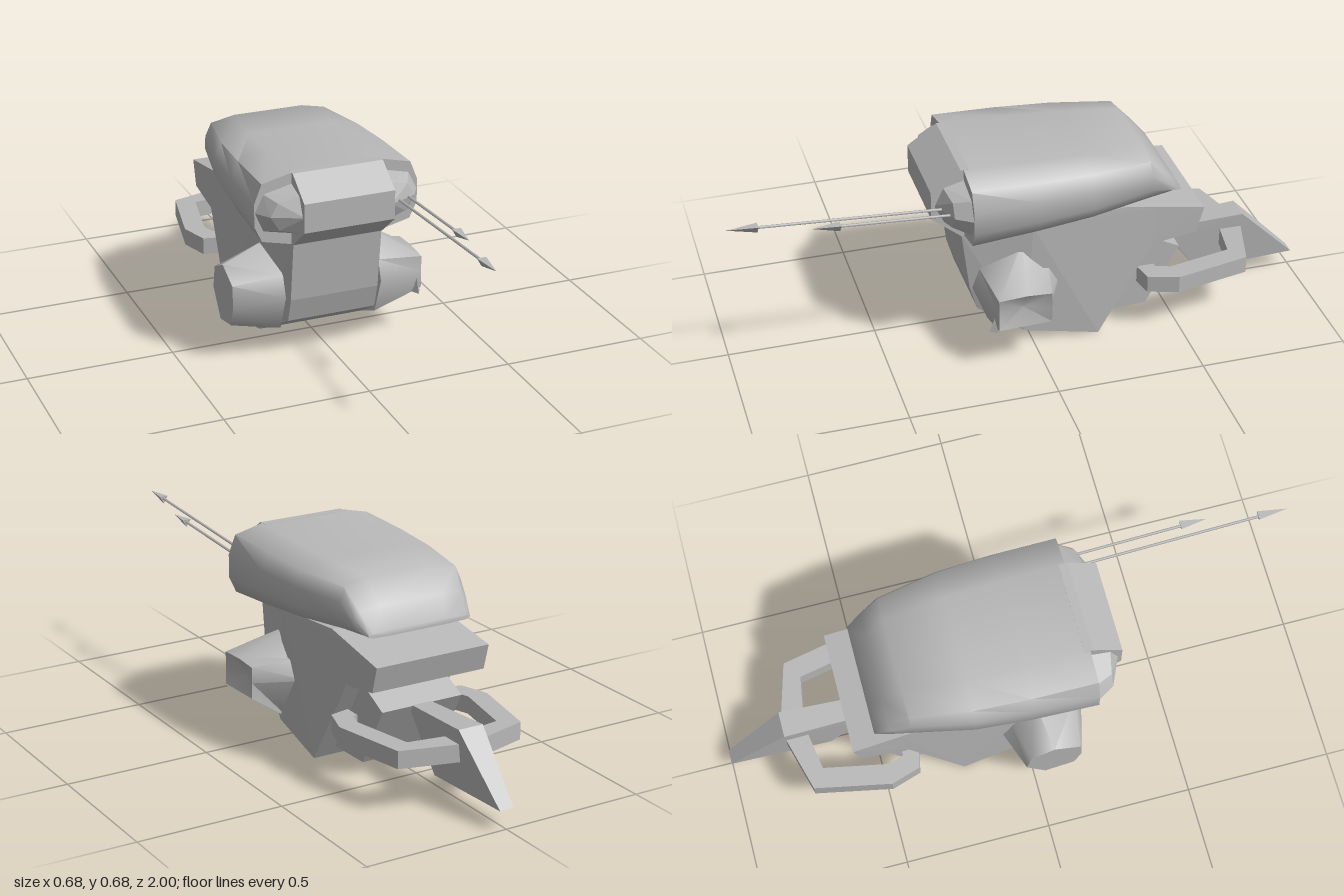
import * as THREE from 'three';
import { toCreasedNormals } from 'three/addons/utils/BufferGeometryUtils.js';
import { ConvexGeometry } from 'three/addons/geometries/ConvexGeometry.js';

const V = (x, y, z) => new THREE.Vector3(x, y, z);

// Skin over rings of equal length; the first ring runs counter-clockwise seen from outside
function loft(rings, crease) {
  const n = rings[0].length, pos = [], idx = [];
  rings.forEach(r => r.forEach(p => pos.push(p.x, p.y, p.z)));
  for (let i = 0; i < rings.length - 1; i++)
    for (let j = 0; j < n; j++) {
      const a = i * n + j, b = i * n + (j + 1) % n;
      idx.push(a, a + n, b, b, a + n, b + n);
    }
  const last = (rings.length - 1) * n;
  for (let j = 1; j < n - 1; j++) idx.push(0, j, j + 1, last, last + j + 1, last + j);
  const g = new THREE.BufferGeometry();
  g.setAttribute('position', new THREE.Float32BufferAttribute(pos, 3));
  g.setIndex(idx);
  return toCreasedNormals(g, crease);
}

// Convex solid symmetric in x from [half width, y, z] corners
const symmetricHull = pts => new ConvexGeometry(pts.flatMap(([x, y, z]) => [V(x, y, z), V(-x, y, z)]));

export function createModel() {
  const group = new THREE.Group();
  const hullGrey = new THREE.MeshStandardMaterial({ color: 0xb8b8b8 });
  hullGrey.name = 'hullGrey';
  const add = (name, geo) => {
    const m = new THREE.Mesh(geo, hullGrey);
    m.name = name;
    group.add(m);
    return m;
  };

  // Main body, widening backwards
  add('body', symmetricHull([
    [0.155, 0.43, 0.23], [0.155, 0.22, 0.205], [0.155, 0.135, 0.18], [0.2, 0.045, 0.03],
    [0.22, 0, -0.225], [0.217, 0.035, -0.245], [0.21, 0.315, -0.41],
    [0.205, 0.45, 0], [0.205, 0.475, -0.315], [0.207, 0.455, -0.43]]));
  add('rearLip', symmetricHull([
    [0.21, 0.315, -0.405], [0.21, 0.34, -0.565], [0.21, 0.43, -0.59], [0.205, 0.475, -0.315]]));
  add('rearBox', symmetricHull([
    [0.15, 0.035, -0.24], [0.15, 0.04, -0.415], [0.15, 0.25, -0.53], [0.15, 0.315, -0.4]]));

  // Rounded upper shell: stations of z, half width, bottom, top
  const half = [[0.545, -1], [0.91, -0.8], [1, -0.36], [1, 0.28], [0.91, 0.8], [0.545, 1]];
  const outline = [...half, ...half.map(([u, v]) => [-u, v]).reverse()];
  const stations = [[0.22, 0.285, 0.43, 0.68], [0, 0.282, 0.449, 0.673], [-0.19, 0.27, 0.466, 0.664],
    [-0.395, 0.23, 0.484, 0.655], [-0.46, 0.21, 0.49, 0.58], [-0.51, 0.19, 0.495, 0.515]];
  add('upperShell', loft(stations.map(([z, w, y0, y1]) =>
    outline.map(([u, v]) => V(u * w, (y0 + y1) / 2 + v * (y1 - y0) / 2, z))), 0.95));

  // Nose block with a faceted lamp on each side
  add('noseBlock', symmetricHull([
    [0.157, 0.43, 0.2], [0.157, 0.68, 0.2], [0.157, 0.43, 0.23], [0.157, 0.68, 0.23],
    [0.157, 0.612, 0.33], [0.157, 0.512, 0.33]]));
  const lamp = [
    [0.15, 0.645, 0.215], [0.255, 0.62, 0.215], [0.286, 0.558, 0.215], [0.257, 0.49, 0.215], [0.15, 0.468, 0.215],
    [0.15, 0.625, 0.29], [0.225, 0.605, 0.275], [0.25, 0.56, 0.275], [0.22, 0.51, 0.275],
    [0.15, 0.56, 0.32], [0.15, 0.495, 0.29]];
  for (const s of [1, -1])
    add(s > 0 ? 'leftLamp' : 'rightLamp', new ConvexGeometry(lamp.map(([x, y, z]) => V(s * x, y, z))));

  // Tapered side pods, [z, y] rings; the left one ends in a recess
  const base = [[0.2, 0.23], [0.175, 0.3], [0.03, 0.375], [-0.06, 0.29], [-0.1, 0.22], [0.03, 0.045], [0.15, 0.1]];
  const wideEnd = [[0.155, 0.2], [0.15, 0.28], [0.06, 0.32], [-0.02, 0.28], [-0.035, 0.2], [0.03, 0.11], [0.13, 0.13]];
  const boxEnd = [[0.155, 0.22], [0.155, 0.275], [0.06, 0.28], [-0.025, 0.275], [-0.025, 0.22], [-0.025, 0.165], [0.155, 0.16]];
  const ring = (pts, x) => pts.map(([z, y]) => V(x, y, z));
  add('rightPod', loft([ring(wideEnd, -0.338), ring(base, -0.17)], 0.9));
  const centre = boxEnd.map(() => [0.065, 0.22]);
  add('leftPod', loft([ring(centre, 0.305), ring(boxEnd, 0.338), ring(base, 0.17)].map(r => r.reverse()), 0.9));
  const barb = add('podBarb', new THREE.ConeGeometry(0.018, 0.05, 3).toNonIndexed());
  barb.geometry.computeVertexNormals();
  barb.position.set(0.318, 0.175, 0.165);

  // Two spears on the left lamp
  for (const [x, y, z, len] of [[0.185, 0.607, 0.995, 0.1], [0.225, 0.59, 0.73, 0.09]]) {
    const start = V(x, 0.56, 0.26), tip = V(x, y, z);
    const dir = tip.clone().sub(start).normalize();
    const full = start.distanceTo(tip), spear = new THREE.Group();
    spear.name = 'spear';
    const shaft = new THREE.Mesh(new THREE.CylinderGeometry(0.005, 0.005, full - len, 5), hullGrey);
    shaft.name = 'spearShaft';
    shaft.position.y = (full - len) / 2;
    const headGeo = new THREE.ConeGeometry(0.018, len, 3).toNonIndexed();
    headGeo.computeVertexNormals();
    const head = new THREE.Mesh(headGeo, hullGrey);
    head.name = 'spearHead';
    head.position.y = full - len / 2;
    spear.add(shaft, head);
    spear.position.copy(start);
    spear.quaternion.setFromUnitVectors(V(0, 1, 0), dir);
    group.add(spear);
  }

  // Rear grab bars, plan in x and z
  const bar = [[0.18, -0.37], [0.25, -0.385], [0.282, -0.487], [0.23, -0.745], [0.03, -0.8],
    [0.03, -0.722], [0.168, -0.7], [0.212, -0.48], [0.195, -0.43], [0.18, -0.43]];
  for (const s of [1, -1]) {
    const shape = new THREE.Shape(bar.map(([x, z]) => new THREE.Vector2(s * x, -z)));
    const geo = new THREE.ExtrudeGeometry(shape, { depth: 0.06, bevelEnabled: false });
    geo.rotateX(-Math.PI / 2).translate(0, 0.155, 0);
    add(s > 0 ? 'leftGrabBar' : 'rightGrabBar', geo);
  }

  // Slanted tail fin
  add('tailFin', symmetricHull([
    [0.035, 0.25, -0.5], [0.045, 0.265, -0.8], [0.025, 0.065, -1], [0.03, 0.055, -0.65], [0.035, 0.2, -0.55]]));
  return group;
}
